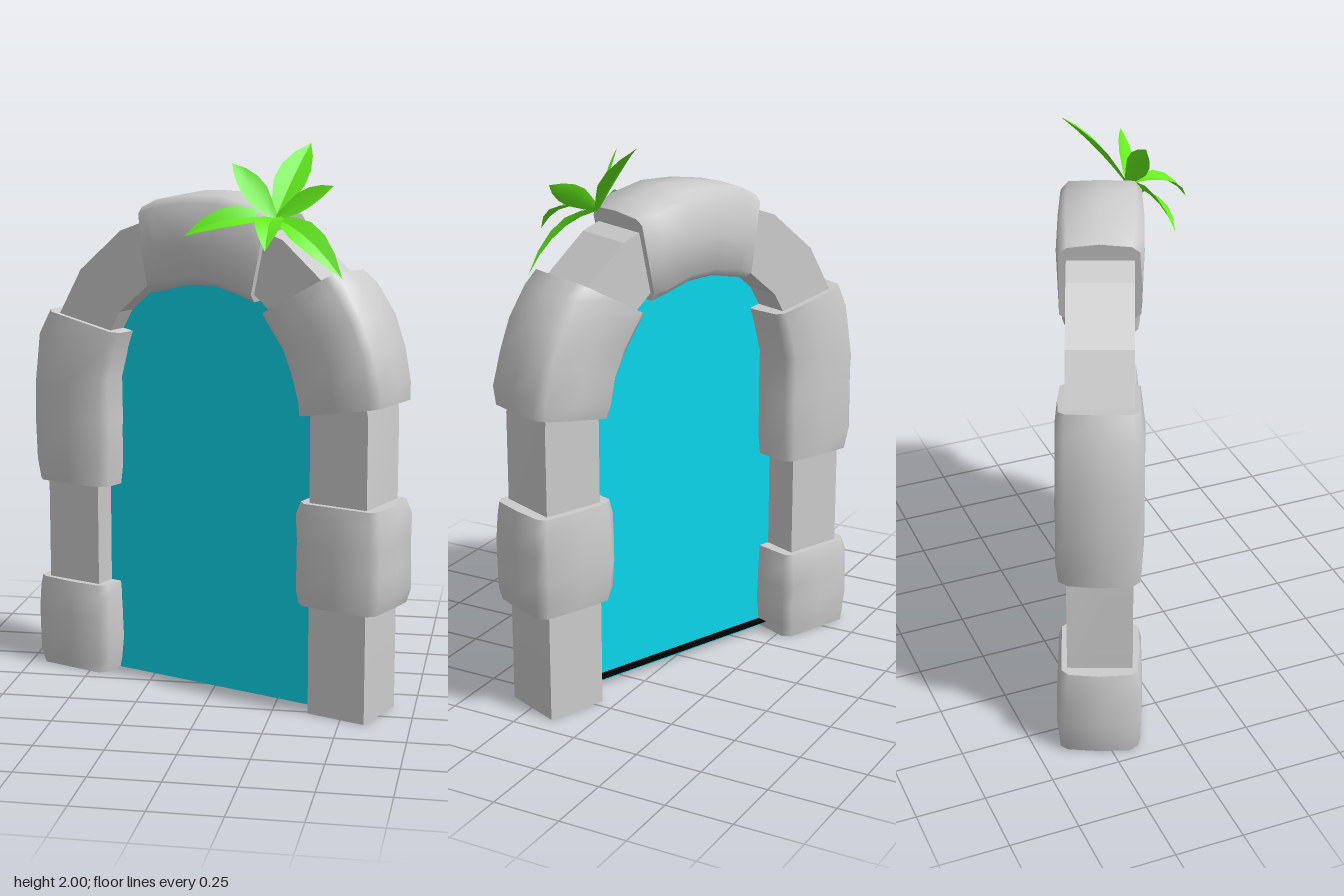
import * as THREE from 'three';
import { toCreasedNormals } from 'three/addons/utils/BufferGeometryUtils.js';

const LEG = 1.09, R = 0.567, ARC = Math.PI * R, TOTAL = 2 * LEG + ARC;

// Small seeded generator for stone irregularity
function seeded(seed) {
  return () => {
    seed = (seed * 16807) % 2147483647;
    return seed / 2147483647;
  };
}

// Arch centreline: up the left leg, round the top, down the right leg
function archAt(s) {
  if (s < LEG) return { x: -R, y: s, nx: -1, ny: 0 };
  if (s > LEG + ARC) return { x: R, y: TOTAL - s, nx: 1, ny: 0 };
  const a = Math.PI - (s - LEG) / R;
  const nx = Math.cos(a), ny = Math.sin(a);
  return { x: R * nx, y: LEG + R * ny, nx, ny };
}

// Sweep a section of [outward, depth] points along the arch; each stop is
// { s, scale, shear }, where shear slants the cut along the path
function sweep(stops, section, wobble = () => 0) {
  const n = section.length, pos = [], idx = [];
  for (const { s, scale = 1, shear = 0 } of stops) {
    const p = archAt(s);
    for (const [a, b] of section) {
      const out = a * scale + wobble(), depth = b * scale + wobble(), along = out * shear;
      pos.push(p.x + p.nx * out + p.ny * along, Math.max(0, p.y + p.ny * out - p.nx * along), depth);
    }
  }
  const last = (stops.length - 1) * n;
  for (let i = 0; i < last; i += n) {
    for (let j = 0; j < n; j++) {
      const k = (j + 1) % n;
      idx.push(i + j, i + k, i + n + k, i + j, i + n + k, i + n + j);
    }
  }
  for (let j = 1; j < n - 1; j++) {
    idx.push(0, j + 1, j, last, last + j, last + j + 1);
  }
  const g = new THREE.BufferGeometry();
  g.setAttribute('position', new THREE.Float32BufferAttribute(pos, 3));
  g.setIndex(idx);
  return g;
}

// Chunky stone block with softened ends and edges; inner is its reach into the opening
function stone(s0, s1, shear0, shear1, inner, seed) {
  const rnd = seeded(seed), a = 0.166, b = 0.145, c = 0.028;
  const section = [
    [a, -b + c], [a + 0.006, 0], [a, b - c], [a - c, b], [0, b + 0.004], [-inner + c, b],
    [-inner, b - c], [-inner - 0.004, 0], [-inner, -b + c], [-inner + c, -b], [0, -b - 0.004], [a - c, -b],
  ];
  const at = [0, 0.13, 0.38, 0.62, 0.87, 1];
  const swell = [0.94, 1, 1.01, 1.01, 1, 0.94];
  const stops = at.map((t, i) => ({
    s: s0 + t * (s1 - s0), scale: swell[i], shear: shear0 + t * (shear1 - shear0),
  }));
  return toCreasedNormals(sweep(stops, section, () => (rnd() - 0.5) * 0.009), 1.0);
}

// Pointed leaf folded along its midrib and curved from base to tip
function leaf(base, tip, width, lift) {
  const mid = base.clone().lerp(tip, 0.5).add(new THREE.Vector3(0, lift, lift * 0.5));
  const curve = new THREE.QuadraticBezierCurve3(base, mid, tip);
  const facing = new THREE.Vector3(0, 0.7, 0.7);
  const widths = [0.25, 0.65, 1, 0.95, 0.6, 0];
  const pos = [], idx = [];
  widths.forEach((w, i) => {
    const t = i / (widths.length - 1);
    const p = curve.getPoint(t);
    const side = curve.getTangent(t).cross(facing).normalize();
    const fold = facing.clone().multiplyScalar(w * width * 0.3);
    for (const k of [-1, 0, 1]) {
      const v = p.clone().addScaledVector(side, k * w * width);
      if (k) v.add(fold);
      pos.push(v.x, v.y, v.z);
    }
    if (i) {
      for (let j = 0; j < 2; j++) {
        const q = (i - 1) * 3 + j;
        idx.push(q, q + 1, q + 4, q, q + 4, q + 3);
      }
    }
  });
  const g = new THREE.BufferGeometry();
  g.setAttribute('position', new THREE.Float32BufferAttribute(pos, 3));
  g.setIndex(idx);
  return toCreasedNormals(g, 0.5);
}

export function createModel() {
  const model = new THREE.Group();
  model.name = 'stoneGateway';
  const grey = new THREE.MeshStandardMaterial({ color: 0xcccccc });
  const blue = new THREE.MeshStandardMaterial({ color: 0x08d6ea });
  const black = new THREE.MeshStandardMaterial({ color: 0x000000 });
  const green = new THREE.MeshStandardMaterial({ color: 0x66f01e, side: THREE.DoubleSide });
  const add = (parent, name, geometry, material) => {
    const m = new THREE.Mesh(geometry, material);
    m.name = name;
    parent.add(m);
    return m;
  };

  // The gateway stands turned about the vertical axis
  const gateway = new THREE.Group();
  gateway.name = 'gateway';
  gateway.rotation.y = -0.39;
  gateway.position.set(0.002, 0, -0.015);
  model.add(gateway);

  // Square inner frame: both pillars and the arch between them
  const stops = [{ s: 0 }];
  for (let i = 0; i <= 9; i++) stops.push({ s: LEG + (ARC * i) / 9 });
  stops.push({ s: TOTAL });
  const square = [[0.114, -0.114], [0.114, 0.116], [-0.112, 0.116], [-0.112, -0.114]];
  add(gateway, 'innerFrame', toCreasedNormals(sweep(stops, square), 0.2), grey);

  // Large stones: [name, start, end, start slant, end slant, inner reach]
  const stones = [
    ['lowerLeftStone', 0, 0.34, 0, 0, 0.158],
    ['upperLeftStone', 0.72, 1.345, 0, -0.25, 0.165],
    ['keystone', 1.745, 2.24, 0.27, -0.25, 0.148],
    ['upperRightStone', 2.42, 2.86, 0.3, -0.15, 0.165],
    ['middleRightStone', TOTAL - 0.77, TOTAL - 0.4, 0, 0, 0.162],
  ];
  stones.forEach(([name, ...shape], i) => add(gateway, name, stone(...shape, 1234 + i * 977), grey));

  // Thin blue sheet filling the opening
  const opening = new THREE.Shape();
  opening.moveTo(-0.52, 0);
  opening.lineTo(0.52, 0);
  opening.lineTo(0.52, LEG);
  opening.absarc(0, LEG, 0.52, 0, Math.PI, false);
  opening.lineTo(-0.52, 0);
  const sheet = new THREE.ExtrudeGeometry(opening, { depth: 0.012, bevelEnabled: false, curveSegments: 12 });
  add(gateway, 'portalSheet', sheet, blue).position.z = 0.02;

  // Flat dark sill behind the foot of the sheet
  add(gateway, 'backSill', new THREE.BoxGeometry(0.93, 0.003, 0.04), black).position.set(0, 0.03, 0);

  // Plant growing on the arch: [tip, half width, lift]
  const plant = new THREE.Group();
  plant.name = 'plant';
  model.add(plant);
  const base = new THREE.Vector3(0.24, 1.75, 0.18);
  const leaves = [
    [[0.335, 2.0, -0.03], 0.058, 0.02],
    [[-0.07, 1.69, 0.235], 0.045, 0.06],
    [[0.49, 1.56, 0.31], 0.05, 0.07],
    [[0.09, 1.94, 0.19], 0.045, 0.0],
    [[0.45, 1.87, 0.245], 0.045, 0.0],
    [[0.24, 1.66, 0.415], 0.048, 0.08],
  ];
  leaves.forEach(([tip, width, lift], i) => {
    add(plant, 'leaf' + (i + 1), leaf(base, new THREE.Vector3(...tip), width, lift), green);
  });
  return model;
}
